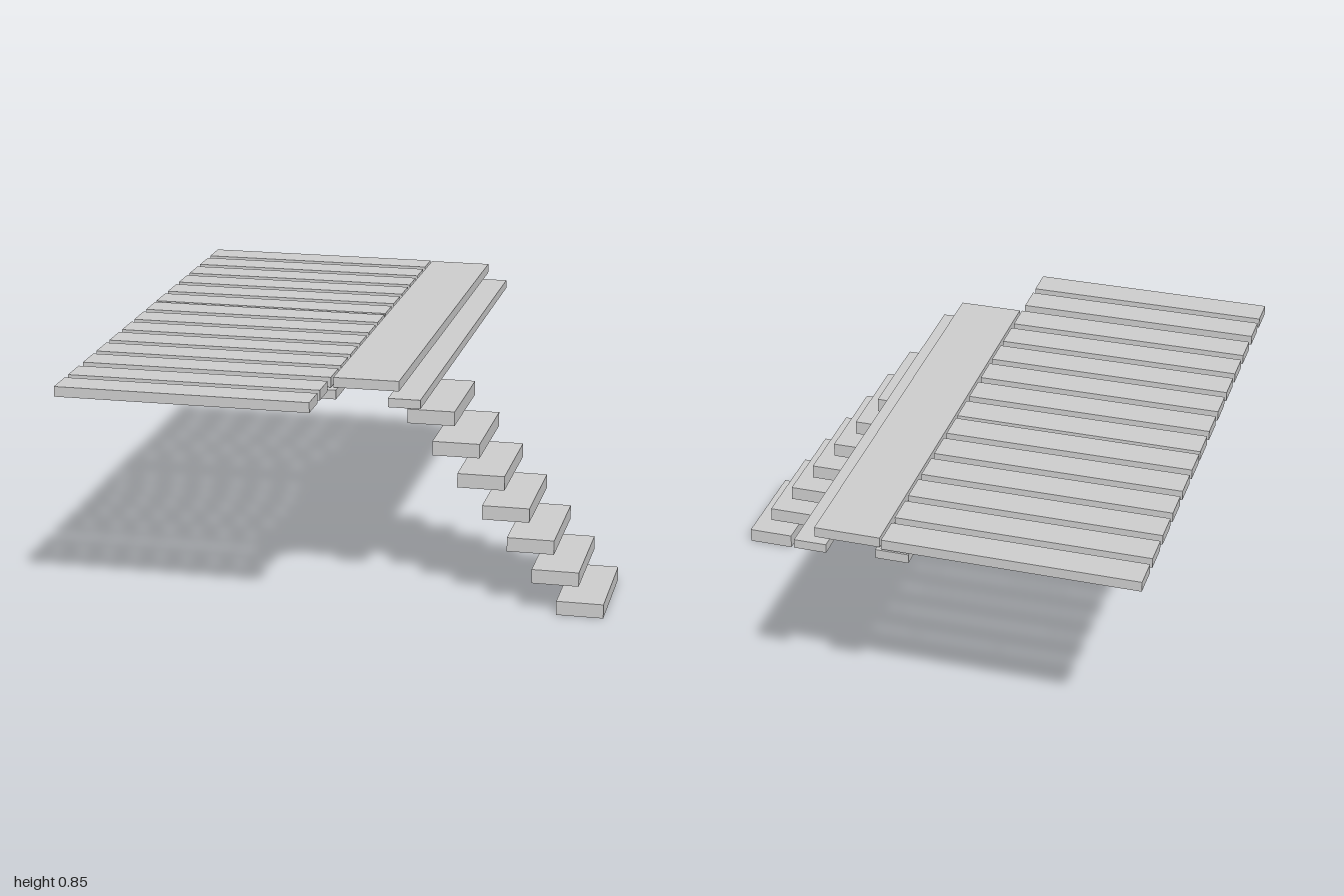
import * as THREE from 'three';

const material = new THREE.MeshStandardMaterial({ color: 0xcccccc, flatShading: true });

// Box given by its extents on each axis
function slab(name, [x0, x1], [y0, y1], [z0, z1]) {
  const mesh = new THREE.Mesh(new THREE.BoxGeometry(x1 - x0, y1 - y0, z1 - z0), material);
  mesh.name = name;
  mesh.position.set((x0 + x1) / 2, (y0 + y1) / 2, (z0 + z1) / 2);
  return mesh;
}

export function createModel() {
  const model = new THREE.Group();
  model.name = 'deckWithSteps';

  // Deck planks: three evenly spaced runs, [first centre, count]
  const planks = new THREE.Group();
  planks.name = 'deckPlanks';
  const pitch = 0.1453, half = 0.0555;
  for (const [start, count] of [[-0.9445, 6], [-0.089, 6], [0.794, 2]]) {
    for (let i = 0; i < count; i++) {
      const z = start + i * pitch;
      planks.add(slab('deckPlank', [-0.895, -0.025], [0.819, 0.854], [z - half, z + half]));
    }
  }
  model.add(planks);

  // Long edge board and the two beams beneath the deck
  model.add(slab('edgeBoard', [-0.017, 0.208], [0.819, 0.854], [-0.99, 0.692]));
  model.add(slab('innerBeam', [-0.118, -0.005], [0.782, 0.814], [-1.0, 0.706]));
  model.add(slab('outerBeam', [0.17, 0.281], [0.762, 0.793], [-0.988, 0.692]));

  // Floating steps, from the ground up to the deck
  const steps = new THREE.Group();
  steps.name = 'steps';
  for (let i = 0; i < 7; i++) {
    const x = 0.808 - i * 0.0875, y = i * 0.1095;
    steps.add(slab('step', [x - 0.082, x + 0.082], [y, y + 0.05], [0.136, 0.521]));
  }
  model.add(steps);

  return model;
}
